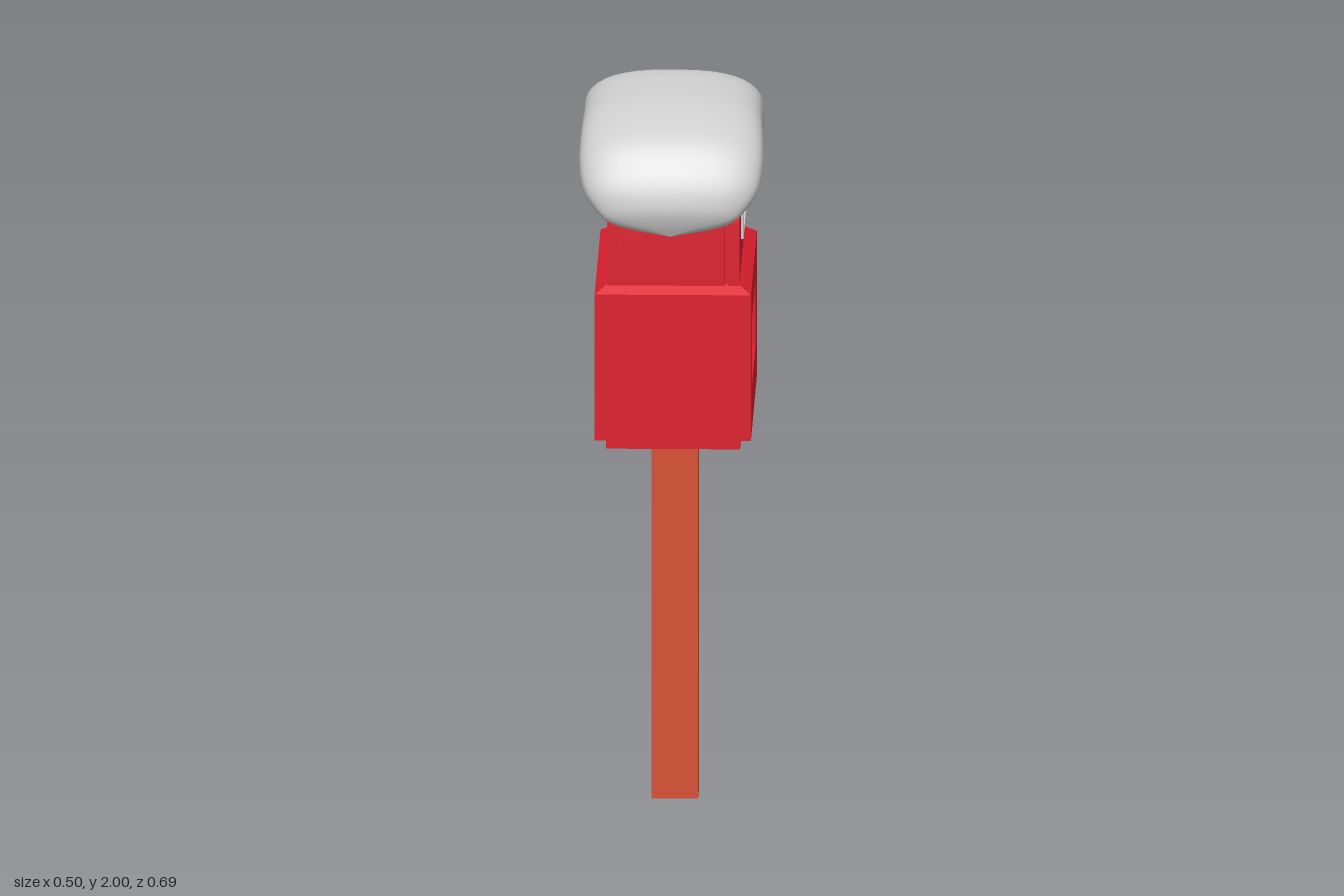
import * as THREE from 'three';
import { toCreasedNormals } from 'three/addons/utils/BufferGeometryUtils.js';

const red = new THREE.MeshStandardMaterial({ color: 0xdc1e2d });
const wood = new THREE.MeshStandardMaterial({ color: 0xd84f30 });
const grey = new THREE.MeshStandardMaterial({ color: 0xcccccc });

// Box given by its limits; the top face may be pulled in on all sides
function block(x0, x1, y0, y1, z0, z1, inset = 0) {
  const w = x1 - x0, h = y1 - y0, d = z1 - z0;
  let geo = new THREE.BoxGeometry(w, h, d);
  if (inset) {
    const p = geo.attributes.position;
    for (let i = 0; i < p.count; i++) {
      if (p.getY(i) < 0) continue;
      p.setX(i, p.getX(i) * (1 - 2 * inset / w));
      p.setZ(i, p.getZ(i) * (1 - 2 * inset / d));
    }
    geo = geo.toNonIndexed();
    geo.computeVertexNormals();
  }
  return geo.translate((x0 + x1) / 2, (y0 + y1) / 2, (z0 + z1) / 2);
}

// Rectangle outline in the side plane, drawn with u = -z
function rect(Type, z0, z1, y0, y1) {
  const s = new Type();
  s.moveTo(-z1, y0);
  s.lineTo(-z0, y0);
  s.lineTo(-z0, y1);
  s.lineTo(-z1, y1);
  s.closePath();
  return s;
}

// Arch-topped outline of the upper housing
function arch(inset = 0) {
  const r = 0.315 - inset, s = new THREE.Shape();
  s.moveTo(-r, 1.5);
  s.lineTo(r, 1.5);
  s.lineTo(r, 1.68);
  s.absellipse(0, 1.68, r, 0.18 - inset, 0, Math.PI, false, 0);
  s.lineTo(-r, 1.5);
  return s;
}

// Extrude a side-plane outline across x0..x1
function slab(shape, x0, x1, hole) {
  if (hole) shape.holes.push(hole);
  const geo = new THREE.ExtrudeGeometry(shape, { depth: x1 - x0, bevelEnabled: false, curveSegments: 28 });
  return toCreasedNormals(geo.rotateY(Math.PI / 2).translate(x0, 0, 0), 0.5);
}

// Snow cap: rounded sections swept over the roof
function snowGeometry() {
  // [outer z, outer y, inner z, inner y, half width]
  const sections = [
    [0.322, 1.648, 0.322, 1.648, 0],
    [0.34, 1.69, 0.29, 1.665, 0.15],
    [0.345, 1.735, 0.25, 1.70, 0.205],
    [0.32, 1.81, 0.22, 1.72, 0.238],
    [0.25, 1.90, 0.17, 1.745, 0.25],
    [0.13, 1.965, 0.09, 1.775, 0.248],
    [0, 1.992, 0, 1.785, 0.243],
    [-0.12, 2.0, -0.09, 1.775, 0.243],
    [-0.23, 1.955, -0.17, 1.755, 0.245],
    [-0.30, 1.875, -0.22, 1.735, 0.24],
    [-0.342, 1.77, -0.26, 1.72, 0.215],
    [-0.335, 1.70, -0.29, 1.685, 0.16],
    [-0.31, 1.66, -0.31, 1.66, 0],
  ];
  const curve = f => new THREE.CatmullRomCurve3(sections.map(f), false, 'catmullrom', 0.5);
  const outer = curve(s => new THREE.Vector3(s[4], s[1], s[0]));
  const inner = curve(s => new THREE.Vector3(s[4], s[3], s[2]));
  const rows = 48, cols = 40, pos = [], index = [];
  const soft = v => Math.sign(v) * Math.abs(v) ** 0.75;
  for (let i = 0; i <= rows; i++) {
    const o = outer.getPoint(i / rows), n = inner.getPoint(i / rows);
    for (let j = 0; j < cols; j++) {
      const a = j / cols * Math.PI * 2, k = (1 + soft(Math.sin(a))) / 2;
      pos.push(o.x * soft(Math.cos(a)), n.y + (o.y - n.y) * k, n.z + (o.z - n.z) * k);
      if (i === rows) continue;
      const p = i * cols + j, q = i * cols + (j + 1) % cols;
      index.push(p, p + cols, q, q, p + cols, q + cols);
    }
  }
  const geo = new THREE.BufferGeometry();
  geo.setAttribute('position', new THREE.Float32BufferAttribute(pos, 3));
  geo.setIndex(index);
  geo.computeVertexNormals();
  return geo;
}

export function createModel() {
  const group = new THREE.Group();
  const add = (name, geo, mat = red) => {
    const mesh = new THREE.Mesh(geo, mat);
    mesh.name = name;
    group.add(mesh);
  };

  add('post', block(-0.057, 0.07, 0, 1.06, -0.06, 0.067), wood);

  // Lower housing with a recessed panel on the +x side
  add('basePlate', block(-0.175, 0.19, 1.05, 1.09, -0.312, 0.318));
  add('lowerBody', block(-0.205, 0.205, 1.08, 1.49, -0.34, 0.343));
  add('panelFace', slab(rect(THREE.Shape, -0.34, 0.343, 1.08, 1.49), 0.205, 0.22,
    rect(THREE.Path, -0.215, 0.225, 1.205, 1.39)));
  add('shoulder', block(-0.205, 0.22, 1.49, 1.512, -0.34, 0.343, 0.033));

  // Hollow arched upper housing, groove and face plate with the slot
  const slot = () => rect(THREE.Path, -0.132, 0.142, 1.608, 1.712);
  add('upperBack', slab(arch(), -0.172, -0.14));
  add('upperBody', slab(arch(), -0.14, 0.148, rect(THREE.Path, -0.26, 0.26, 1.53, 1.75)));
  add('groove', slab(arch(0.014), 0.148, 0.157, slot()));
  add('facePlate', slab(arch(), 0.157, 0.188, slot()));
  add('slotFrame', slab(rect(THREE.Shape, -0.142, 0.152, 1.598, 1.722), 0.18, 0.196, slot()), grey);

  add('snowCap', snowGeometry(), grey);
  return group;
}
